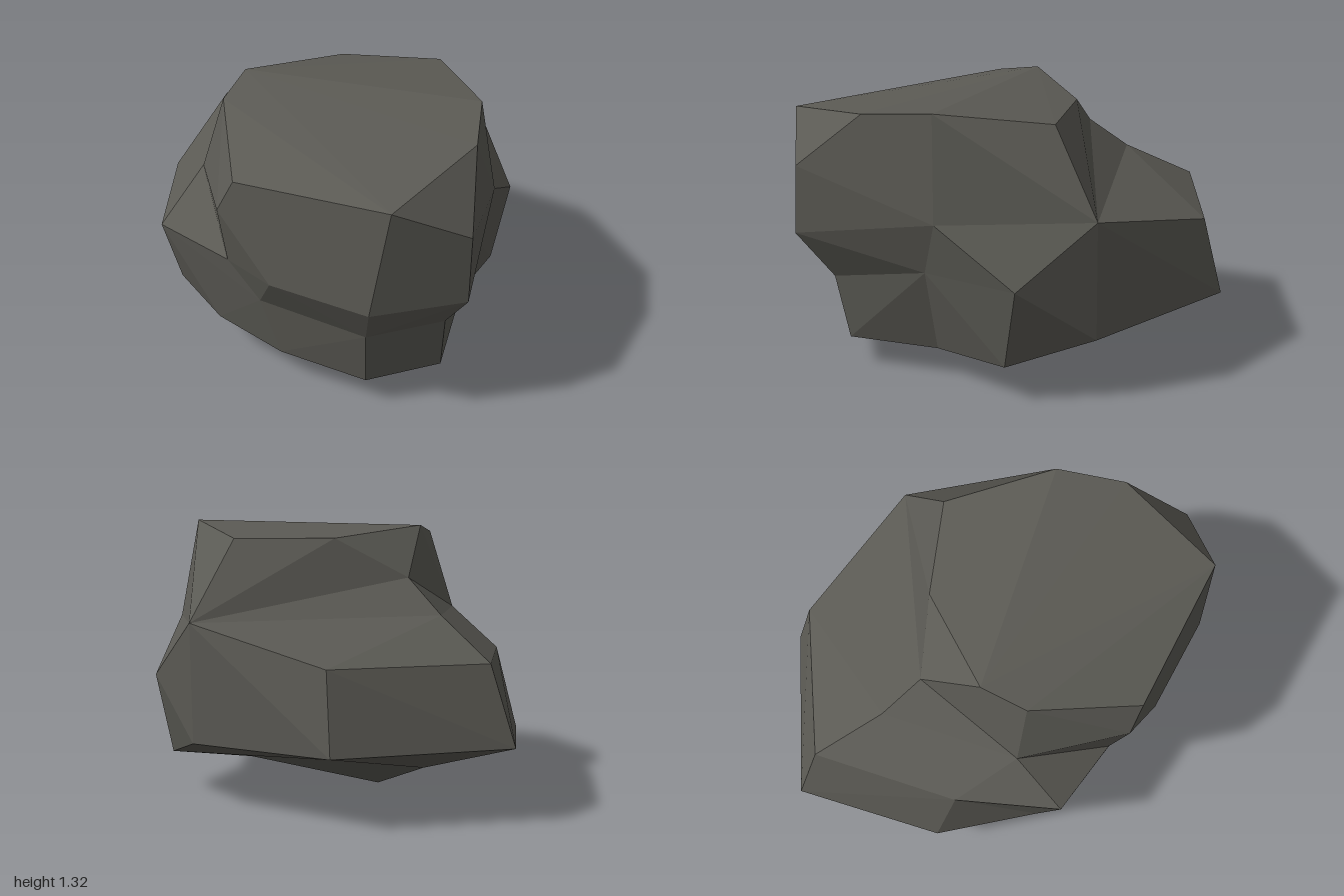
import * as THREE from 'three';
import { ConvexGeometry } from 'three/addons/geometries/ConvexGeometry.js';

const stone = new THREE.MeshStandardMaterial({ color: 0x5b5a54 });
stone.name = 'dark stone';

// corners shared by neighbouring lumps, so their creases line up
const leftNotch = [-0.53, 0.87, 0.335];
const leftBack = [-0.35, 1.06, -0.2];
const leftLedge = [-0.52, 0.895, -0.345];
const leftSide = [-0.77, 0.69, 0.1];
const frontNotch = [-0.27, 0.64, 0.735];
const frontDip = [-0.1, 0.47, 0.78];
const frontEdge = [0.44, 0.46, 0.885];
const sideEdge = [0.76, 0.46, 0.67];
const sideDip = [0.8, 0.57, 0.16];
const sidePeak = [0.855, 0.83, 0.08];
const sideBack = [0.88, 0.58, -0.33];
const backShoulder = [0.63, 0.87, -0.62];

// corners around the lower edge
const rimLeft = [-0.62, 0.28, 0.48];
const rimSide = [0.69, 0.145, 0.16];
const rimBack = [0.62, 0.3, -0.62];
const rimBackLeft = [-0.45, 0.18, -0.44];
const rimFront = [
  [-0.36, 0.21, 0.65], [-0.01, 0.16, 0.76], [0.43, 0.15, 0.83], [0.74, 0.145, 0.61],
];

// a faceted lump of stone wrapped around its corner points
function lump(name, corners) {
  const points = corners.map((c) => new THREE.Vector3(...c));
  const mesh = new THREE.Mesh(new ConvexGeometry(points), stone);
  mesh.name = name;
  return mesh;
}

export function createModel() {
  const rock = new THREE.Group();
  rock.name = 'rock';

  // overhanging upper block
  rock.add(lump('upperBlock', [
    leftNotch, leftBack, frontNotch, frontDip, frontEdge,
    sideEdge, sideDip, sidePeak, backShoulder,
    // top face
    [0.475, 1.25, -0.35], [0, 1.25, -0.265], [-0.38, 1.3, 0.105],
    [0.77, 1.32, 0.12], [0.815, 1.295, 0.455], [-0.41, 1.26, 0.335],
    [-0.19, 1.15, 0.83], [0.56, 1.22, 0.97],
    // front and side corners
    [0.875, 1.03, 0.78], [0.48, 0.68, 1], [0.88, 0.7, 0.8],
    [-0.28, 0.97, 0.81], [-0.01, 0.67, 0.9],
  ]));

  // sloping shoulders between the upper block and the body
  rock.add(lump('leftShoulder', [leftLedge, leftBack, leftNotch, backShoulder]));
  rock.add(lump('sideShoulder', [sidePeak, sideBack, sideDip, backShoulder]));

  // front half of the body
  rock.add(lump('frontBody', [
    leftNotch, leftSide, rimLeft, rimSide, sideDip,
    frontNotch, frontDip, frontEdge, sideEdge, ...rimFront,
    [-0.655, 0.67, 0.6],
  ]));

  // back half of the body
  rock.add(lump('backBody', [
    leftNotch, leftSide, rimLeft, rimSide, sideDip,
    leftLedge, backShoulder, sideBack, rimBack, rimBackLeft,
    [0.82, 0.18, -0.25], [-0.09, 0.33, -1], [-0.06, 0.71, -0.91],
    [-0.885, 0.34, -0.7], [-0.765, 0.71, -0.62], [-0.875, 0.3, 0.03],
  ]));

  // tapered underside
  rock.add(lump('underside', [
    rimLeft, rimSide, rimBack, rimBackLeft, ...rimFront,
    [-0.13, 0, 0.31], [-0.2, 0.03, -0.15],
  ]));

  return rock;
}
